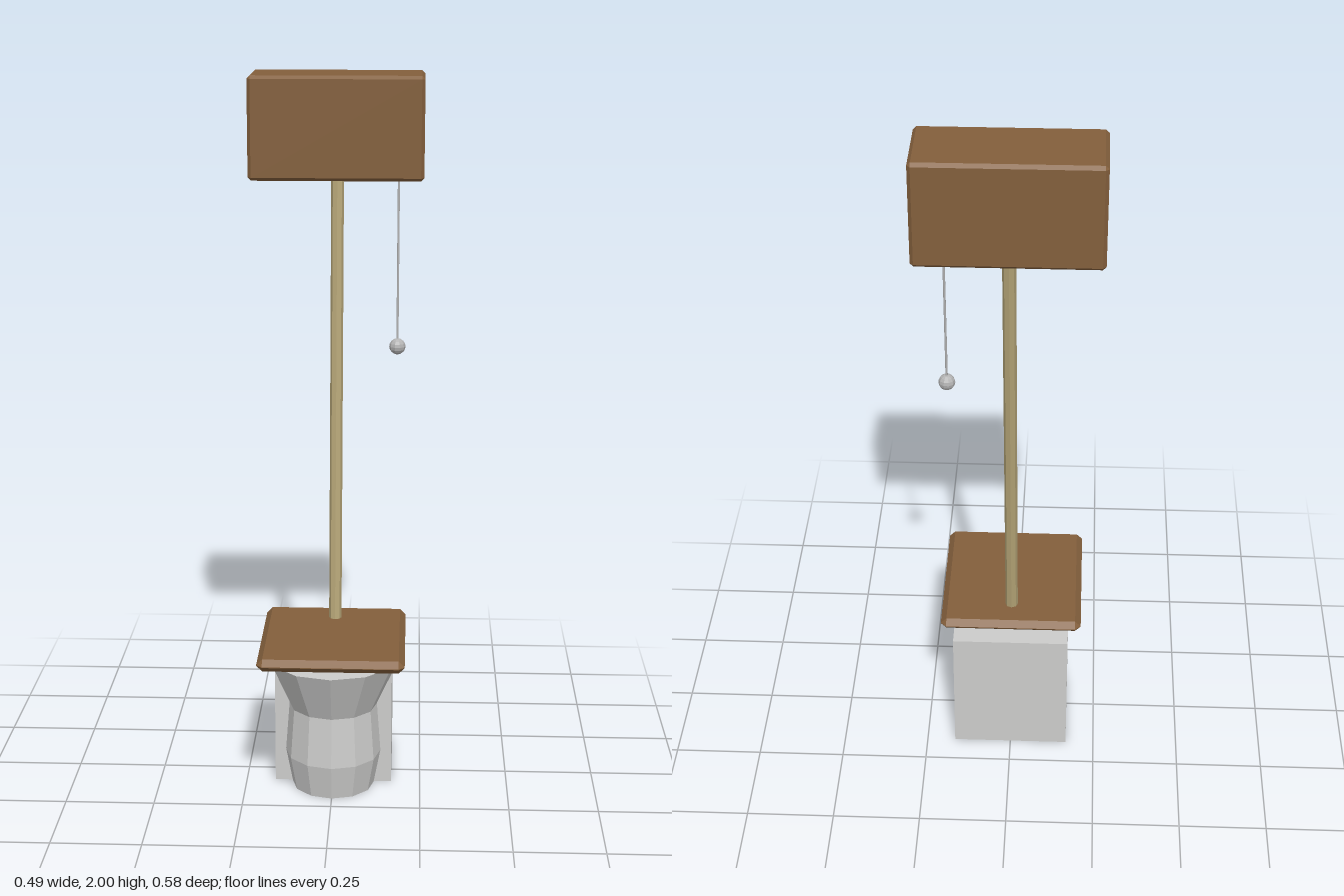
import * as THREE from 'three';
import { ConvexGeometry } from 'three/addons/geometries/ConvexGeometry.js';

function material(name, color) {
  const m = new THREE.MeshStandardMaterial({ color });
  m.name = name;
  return m;
}

// Box whose edges and corners are all cut by c
function chamferBox(w, h, d, c) {
  const pts = [];
  for (const x of [-1, 1]) for (const y of [-1, 1]) for (const z of [-1, 1]) {
    for (let full = 0; full < 3; full++) {
      pts.push(new THREE.Vector3(
        x * (w / 2 - (full === 0 ? 0 : c)),
        y * (h / 2 - (full === 1 ? 0 : c)),
        z * (d / 2 - (full === 2 ? 0 : c))));
    }
  }
  return new ConvexGeometry(pts);
}

// Cylinder running between two points
function rod(a, b, radius, sides) {
  const dir = b.clone().sub(a);
  const g = new THREE.CylinderGeometry(radius, radius, dir.length(), sides);
  g.applyQuaternion(new THREE.Quaternion().setFromUnitVectors(
    new THREE.Vector3(0, 1, 0), dir.normalize()));
  const mid = a.clone().add(b).multiplyScalar(0.5);
  return g.translate(mid.x, mid.y, mid.z).toNonIndexed();
}

export function createModel() {
  const group = new THREE.Group();
  const wood = material('wood', 0x835f3c);
  const porcelain = material('porcelain', 0xcccccb);
  const brass = material('brass', 0xb5a577);
  const metal = material('metal', 0xb4b4b4);

  function add(name, geometry, mat, x = 0, y = 0, z = 0) {
    const mesh = new THREE.Mesh(geometry, mat);
    mesh.name = name;
    mesh.position.set(x, y, z);
    group.add(mesh);
  }
  function flat(geometry) {
    const g = geometry.index ? geometry.toNonIndexed() : geometry;
    g.computeVertexNormals();
    return g;
  }

  // Porcelain base block and faceted bowl
  add('baseBlock', new THREE.BoxGeometry(0.334, 0.392, 0.25), porcelain, 0, 0.196, -0.045);
  const profile = [[0, 0], [0.117, 0], [0.136, 0.1], [0.125, 0.245], [0.192, 0.392], [0, 0.392]]
    .map(([r, y]) => new THREE.Vector2(r, y));
  add('bowl', flat(new THREE.LatheGeometry(profile, 12)), porcelain, 0, 0, 0.083);

  // Wooden lid and high cistern
  add('lid', chamferBox(0.408, 0.035, 0.444, 0.0165), wood, 0, 0.4325, 0.069);
  add('cistern', chamferBox(0.486, 0.286, 0.213, 0.009), wood, 0, 1.857, -0.1865);

  // Leaning flush pipe
  add('flushPipe', flat(rod(new THREE.Vector3(0, 0.412, -0.057),
    new THREE.Vector3(0, 1.75, -0.217), 0.018, 8)), brass);

  // Pull chain and its knob
  add('pullChain', rod(new THREE.Vector3(0.173, 1.73, -0.116),
    new THREE.Vector3(0.173, 1.25, -0.096), 0.0035, 6), metal);
  add('pullKnob', flat(new THREE.SphereGeometry(0.023, 10, 8)), metal, 0.173, 1.25, -0.096);

  return group;
}
